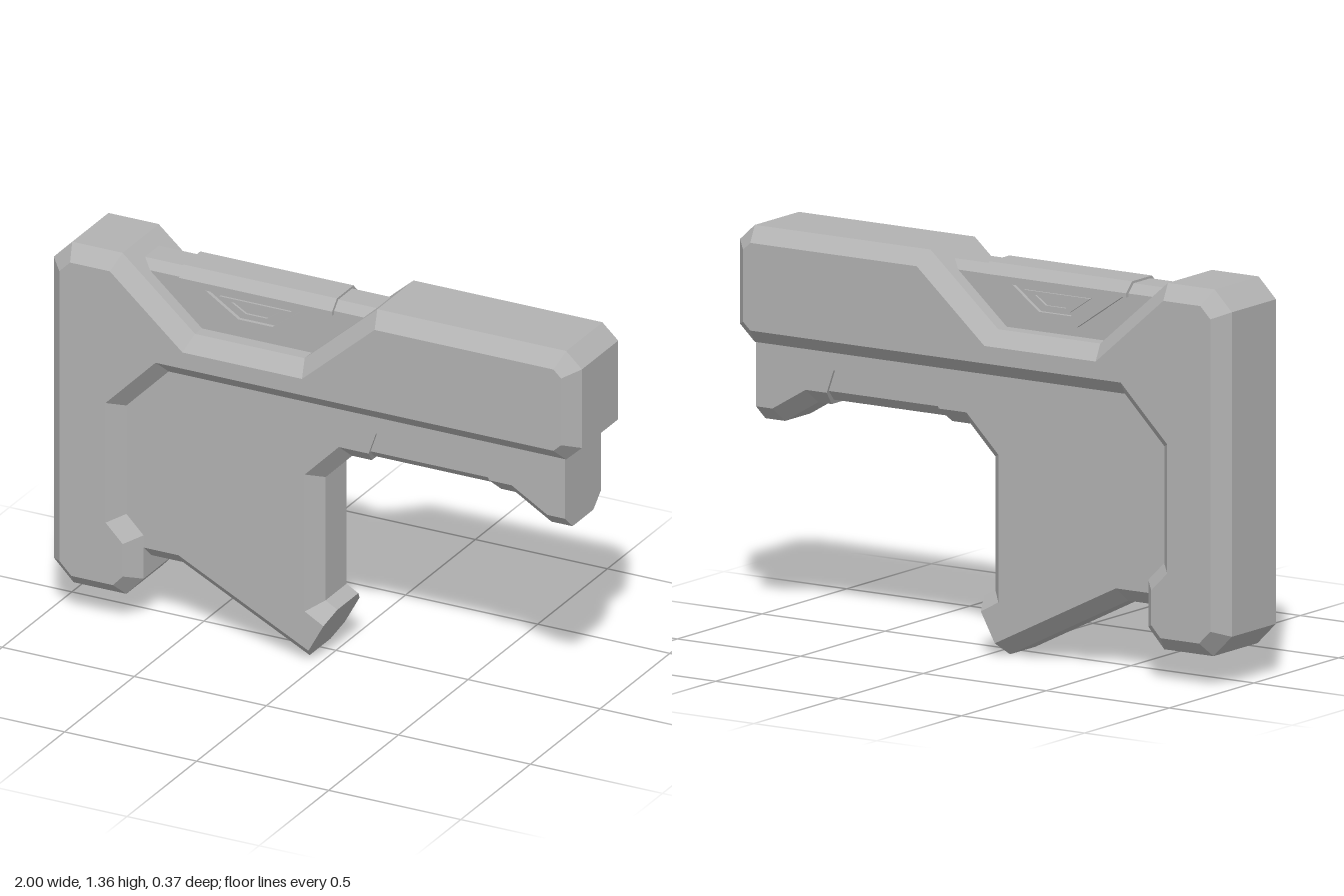
import * as THREE from 'three';

const grey = new THREE.MeshStandardMaterial({ color: 0xb2b2b2, flatShading: true });
grey.name = 'plain grey';

// Slab with chamfered rims. Outline is counter-clockwise [x, y, inset],
// where inset is the chamfer of the edge leaving that point (0 = none).
function slab(outline, half, depth) {
  const n = outline.length;
  const normals = outline.map(([x, y], i) => {
    const [u, v] = outline[(i + 1) % n];
    const len = Math.hypot(u - x, v - y);
    return [(y - v) / len, (u - x) / len];
  });
  // Inset corner: crossing of the two neighbouring shifted edges
  const inner = outline.map(([x, y, b], i) => {
    const p = (i + n - 1) % n;
    const [ax, ay] = normals[p], [bx, by] = normals[i];
    const a = outline[p][2];
    const det = ax * by - ay * bx;
    return [x + (a * by - b * ay) / det, y + (ax * b - bx * a) / det];
  });
  const rings = [
    inner.map(([x, y]) => [x, y, half]),
    outline.map(([x, y]) => [x, y, half - depth]),
    outline.map(([x, y]) => [x, y, depth - half]),
    inner.map(([x, y]) => [x, y, -half]),
  ];
  const pos = [];
  const tri = (...corners) => corners.forEach((c) => pos.push(...c));
  for (let k = 0; k < 3; k++) {
    const A = rings[k], B = rings[k + 1];
    for (let i = 0; i < n; i++) {
      const j = (i + 1) % n;
      tri(B[i], B[j], A[j]);
      tri(B[i], A[j], A[i]);
    }
  }
  const caps = THREE.ShapeUtils.triangulateShape(inner.map(([x, y]) => new THREE.Vector2(x, y)), []);
  for (const [a, b, c] of caps) {
    tri(rings[0][a], rings[0][b], rings[0][c]);
    tri(rings[3][c], rings[3][b], rings[3][a]);
  }
  const geo = new THREE.BufferGeometry();
  geo.setAttribute('position', new THREE.Float32BufferAttribute(pos, 3));
  geo.computeVertexNormals();
  return geo;
}

// Flat plate with a hole, centred on z = 0
function ring(outer, hole, half) {
  const vectors = (pts) => pts.map(([x, y]) => new THREE.Vector2(x, y));
  const shape = new THREE.Shape(vectors(outer));
  shape.holes.push(new THREE.Path(vectors(hole)));
  return new THREE.ExtrudeGeometry(shape, { depth: half * 2, bevelEnabled: false }).translate(0, 0, -half);
}

export function createModel() {
  const group = new THREE.Group();
  const add = (name, geo) => {
    const mesh = new THREE.Mesh(geo, grey);
    mesh.name = name;
    group.add(mesh);
  };

  // Wide L-shaped frame with a notch in its top
  const frame = [
    [-1, 0.18], [-0.925, 0.105], [-0.725, 0.105], [-0.66, 0.175], [-0.66, 0.335], [-0.725, 0.4],
    [-0.725, 0.8], [-0.565, 0.96], [0.94, 0.96], [1, 1.015], [1, 1.305], [0.94, 1.36],
    [0.225, 1.36], [-0.05, 1.12], [-0.465, 1.12], [-0.74, 1.36], [-0.93, 1.36], [-1, 1.29],
  ].map(([x, y]) => [x, y, 0.05]);
  add('frame', slab(frame, 0.185, 0.055));

  // Narrower grip and fore-end under the frame, with a gap for the lower panel
  const b = 0.05;
  add('grip', slab([
    [-0.8, 0.24, b], [-0.54, 0.24, b], [-0.06, 0, 0], [0.045, 0.19, b], [0, 0.215, b],
    [0, 0.67, b], [0.1, 0.77, b], [0.175, 0.77, 0], [0.22, 0.9, 0], [0.62, 0.9, 0],
    [0.665, 0.77, b], [0.72, 0.77, b], [0.855, 0.69, b], [0.935, 0.69, 0], [0.935, 1, 0], [-0.8, 1, 0],
  ], 0.13, 0.055));

  // Slightly sunken panel under the fore-end
  add('lowerPanel', slab([
    [0.18, 0.785, 0.04], [0.66, 0.785, 0], [0.62, 0.9, 0], [0.22, 0.9, 0],
  ], 0.12, 0.05));

  // Insert filling the top notch
  add('topInsert', slab([
    [-0.465, 1.11, 0], [-0.05, 1.11, 0], [0.19, 1.322, 0.03], [-0.705, 1.322, 0],
  ], 0.08, 0.03));
  add('insertCap', slab([
    [-0.545, 1.28, 0], [0.035, 1.28, 0], [0.035, 1.33, 0.035], [-0.545, 1.33, 0],
  ], 0.094, 0.035));

  // Nested trapezoid rims on both sides of the insert
  add('insertRim', ring(
    [[-0.345, 1.155], [-0.17, 1.155], [0.03, 1.29], [-0.543, 1.29]],
    [[-0.32, 1.19], [-0.19, 1.19], [-0.083, 1.27], [-0.445, 1.27]], 0.094));
  add('innerRim', ring(
    [[-0.31, 1.2], [-0.2, 1.2], [-0.125, 1.257], [-0.395, 1.257]],
    [[-0.295, 1.213], [-0.215, 1.213], [-0.17, 1.245], [-0.35, 1.245]], 0.088));

  return group;
}
